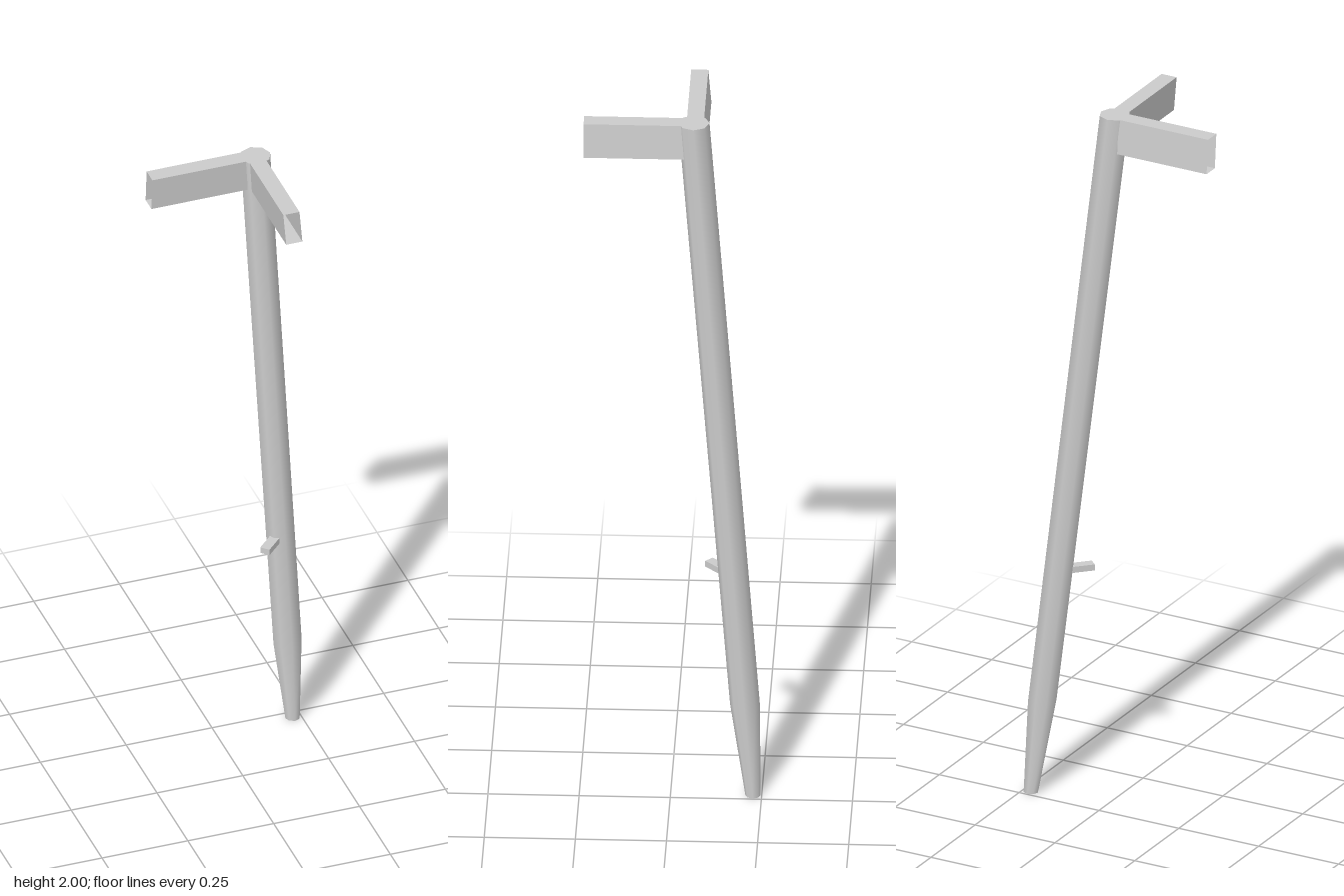
import * as THREE from 'three';

const grey = new THREE.MeshStandardMaterial({ color: 0xcccccc, side: THREE.DoubleSide });

const TOP = 0.057, FOOT = 0.226;      // distance of the leg axis from centre, in x and -z
const SLOPE = (FOOT - TOP) / 2;       // sideways lean per unit of height
const axisAt = (y) => FOOT - SLOPE * y;

function addMesh(parent, name, geometry) {
  const mesh = new THREE.Mesh(geometry, grey);
  mesh.name = name;
  parent.add(mesh);
  return mesh;
}

// Leaning eight-sided leg with a tapered foot; all rings stay horizontal
function legGeometry() {
  const g = new THREE.CylinderGeometry(1, 1, 2, 8, 2);
  const p = g.attributes.position;
  for (let i = 0; i < p.count; i++) {
    const level = Math.round(p.getY(i)) + 1;
    const y = [0, 0.27, 2][level];
    const r = [0.021, 0.041, 0.043][level];
    p.setXYZ(i, axisAt(y) + p.getX(i) * r, y, -axisAt(y) + p.getZ(i) * r);
  }
  return g;
}

// Open-ended rail along z, its sides leaning outward with the leg
function railGeometry(outward) {
  const g = new THREE.BoxGeometry(0.047, 0.1, 0.28);
  g.setIndex(Array.from(g.index.array.slice(0, 24))); // leave both ends open
  const p = g.attributes.position;
  for (let i = 0; i < p.count; i++) {
    p.setX(i, p.getX(i) - outward * SLOPE * (p.getY(i) - 0.05));
  }
  g.computeVertexNormals();
  return g;
}

export function createModel() {
  const model = new THREE.Group();
  model.name = 'cornerLeg';

  addMesh(model, 'leg', legGeometry());

  // Two rails meeting at the top of the leg
  addMesh(model, 'frontRail', railGeometry(1)).position.set(0.0535, 1.95, 0.105);
  const sideRail = addMesh(model, 'sideRail', railGeometry(-1));
  sideRail.rotation.y = -Math.PI / 2;
  sideRail.position.set(-0.11, 1.95, -0.0605);

  // Small shelf peg pointing to the inside corner
  const peg = addMesh(model, 'shelfPeg', new THREE.BoxGeometry(0.028, 0.018, 0.09));
  peg.rotation.y = -Math.PI / 4;
  peg.position.set(0.132, 0.655, -0.132);

  return model;
}
